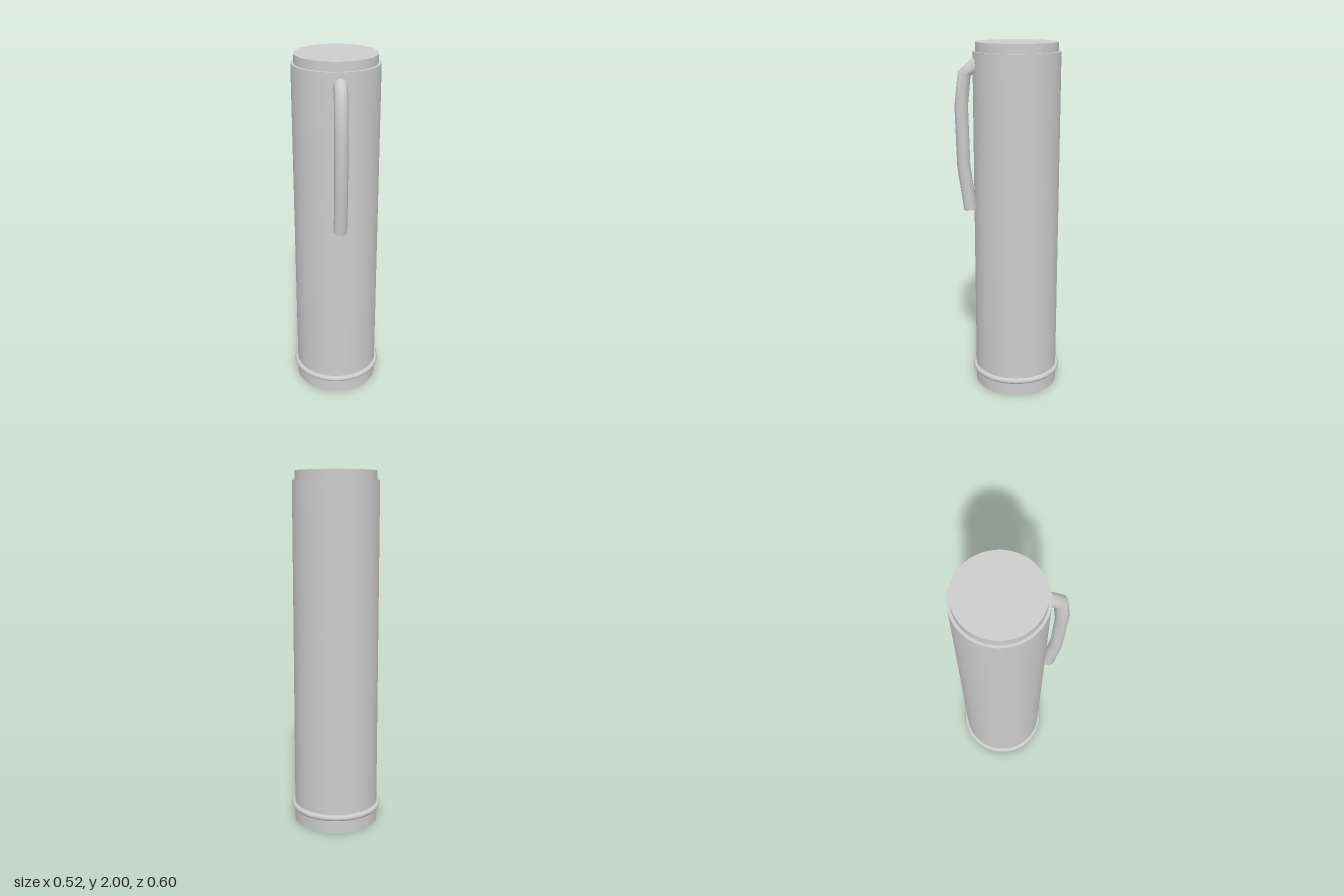
import * as THREE from 'three';
import { toCreasedNormals } from 'three/addons/utils/BufferGeometryUtils.js';

const SIDES = 64;
const AXIS_Z = -0.045;

// Tube with straight runs between the given [y, z] points, closed at both ends
function bentRod(path, radius, sides) {
  const pos = [], index = [];
  const pts = path.map(([y, z]) => new THREE.Vector2(z, y));
  pts.forEach((p, i) => {
    const before = pts[Math.max(i - 1, 0)], after = pts[Math.min(i + 1, pts.length - 1)];
    const t = after.clone().sub(before).normalize();
    for (let k = 0; k < sides; k++) {
      const a = (k / sides) * Math.PI * 2;
      const out = Math.cos(a) * radius;
      pos.push(Math.sin(a) * radius, p.y + t.x * out, p.x - t.y * out);
    }
  });
  for (let i = 0; i < pts.length - 1; i++) {
    for (let k = 0; k < sides; k++) {
      const a = i * sides + k, b = i * sides + (k + 1) % sides;
      index.push(a, a + sides, b, b, a + sides, b + sides);
    }
  }
  const last = (pts.length - 1) * sides;
  for (let k = 1; k < sides - 1; k++) {
    index.push(0, k, k + 1, last, last + k + 1, last + k);
  }
  const geo = new THREE.BufferGeometry();
  geo.setAttribute('position', new THREE.Float32BufferAttribute(pos, 3));
  geo.setIndex(index);
  return toCreasedNormals(geo, 1.0);
}

export function createModel() {
  const model = new THREE.Group();
  model.name = 'penCap';
  const grey = new THREE.MeshStandardMaterial({ color: 0xcccccc, side: THREE.DoubleSide });
  grey.name = 'light grey';

  const add = (name, geometry, y, z) => {
    const mesh = new THREE.Mesh(geometry, grey);
    mesh.name = name;
    mesh.position.set(0, y, z);
    model.add(mesh);
    return mesh;
  };

  // Hollow barrel, open at the bottom
  const wall = [[0.2, 0], [0.24, 0], [0.24, 1.95], [0.2, 1.95], [0.2, 0]]
    .map(([r, y]) => new THREE.Vector2(r, y));
  add('barrel', toCreasedNormals(new THREE.LatheGeometry(wall, SIDES), 0.6), 0, AXIS_Z);

  // Stepped plug closing the top
  add('topPlug', new THREE.CylinderGeometry(0.225, 0.225, 0.05, SIDES), 1.975, AXIS_Z);

  // Rounded band near the open end
  add('band', new THREE.TorusGeometry(0.241, 0.017, 12, SIDES), 0.092, AXIS_Z).rotation.x = Math.PI / 2;

  // Pocket clip, rooted in the barrel wall at its upper end
  const clipPath = [[1.89, 0.175], [1.838, 0.245], [1.665, 0.264], [1.335, 0.256], [1.083, 0.221]];
  add('clip', bentRod(clipPath, 0.037, 8), 0, 0);

  return model;
}
